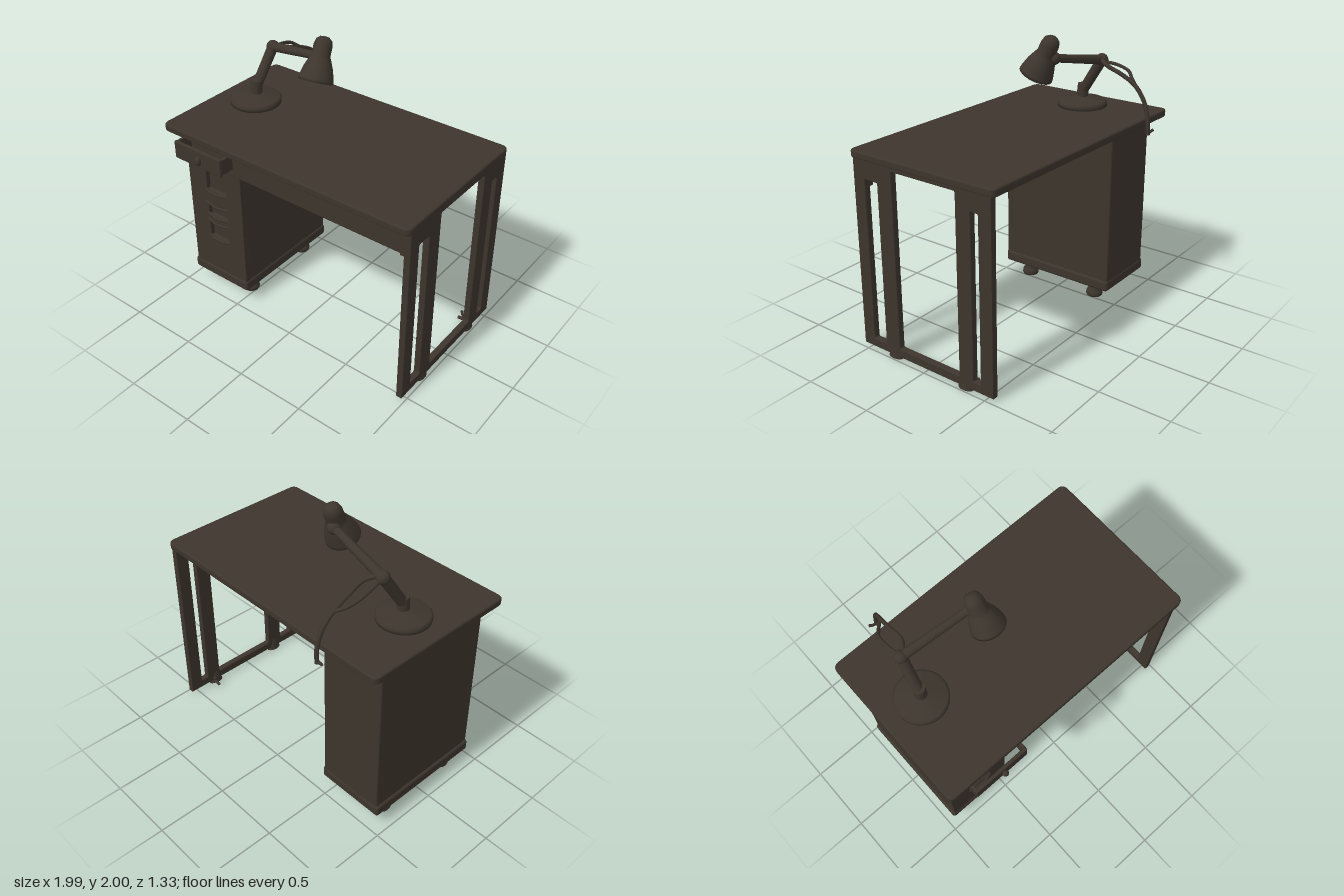
import * as THREE from 'three';
import { RoundedBoxGeometry } from 'three/addons/geometries/RoundedBoxGeometry.js';

export function createModel() {
  const model = new THREE.Group();
  model.name = 'deskWithLamp';
  const brown = new THREE.MeshStandardMaterial({ color: 0x3d352d, side: THREE.DoubleSide });
  brown.name = 'darkBrown';

  const add = (name, geo, parent = model) => {
    const m = new THREE.Mesh(geo, brown);
    m.name = name;
    parent.add(m);
    return m;
  };
  // box given by its min and max corners, with softened edges
  const box = (name, x0, x1, y0, y1, z0, z1, r = 0.008) => {
    const m = add(name, new RoundedBoxGeometry(x1 - x0, y1 - y0, z1 - z0, 2, r));
    m.position.set((x0 + x1) / 2, (y0 + y1) / 2, (z0 + z1) / 2);
    return m;
  };
  const rect = (Path, x0, x1, y0, y1, r = 0) => {
    const p = new Path();
    p.moveTo(x0 + r, y0);
    p.lineTo(x1 - r, y0);
    if (r) p.quadraticCurveTo(x1, y0, x1, y0 + r);
    p.lineTo(x1, y1 - r);
    if (r) p.quadraticCurveTo(x1, y1, x1 - r, y1);
    p.lineTo(x0 + r, y1);
    if (r) p.quadraticCurveTo(x0, y1, x0, y1 - r);
    p.lineTo(x0, y0 + r);
    if (r) p.quadraticCurveTo(x0, y0, x0 + r, y0);
    return p;
  };
  const v = (x, y, z) => new THREE.Vector3(x, y, z);
  const tube = (name, pts, r, seg = 24) =>
    add(name, new THREE.TubeGeometry(new THREE.CatmullRomCurve3(pts), seg, r, 8));
  const rod = (name, a, b, ra, rb) => {
    const d = b.clone().sub(a);
    const m = add(name, new THREE.CylinderGeometry(rb, ra, d.length(), 16));
    m.position.copy(a).addScaledVector(d, 0.5);
    m.quaternion.setFromUnitVectors(v(0, 1, 0), d.normalize());
    return m;
  };
  const ball = (name, p, r) => add(name, new THREE.SphereGeometry(r, 16, 12)).position.copy(p);
  const lathe = (pts, n = 28) => new THREE.LatheGeometry(pts.map(p => new THREE.Vector2(...p)), n);

  // Table top with rounded corners
  const top = add('tableTop', new THREE.ExtrudeGeometry(rect(THREE.Shape, -0.985, 0.975, -0.565, 0.565, 0.035), {
    depth: 0.031, bevelThickness: 0.012, bevelSize: 0.013, bevelSegments: 3, curveSegments: 6,
  }));
  top.rotation.x = -Math.PI / 2;
  top.position.y = 1.357;

  // Front apron with a small brace at the leg
  box('apron', -0.8, 0.92, 1.165, 1.35, 0.48, 0.52);
  box('apronBrace', 0.9, 0.985, 1.16, 1.35, 0.46, 0.53);

  // Side leg frame: four posts, joined at the bottom and in pairs at the top
  const frame = rect(THREE.Shape, -0.538, 0.55, 0.04, 1.35);
  frame.holes.push(
    rect(THREE.Path, -0.455, -0.335, 0.09, 1.23, 0.02),
    rect(THREE.Path, -0.225, 0.295, 0.09, 1.33, 0.02),
    rect(THREE.Path, 0.395, 0.465, 0.09, 1.23, 0.02));
  const legFrame = add('legFrame', new THREE.ExtrudeGeometry(frame, {
    depth: 0.034, bevelThickness: 0.006, bevelSize: 0.006, bevelSegments: 2,
  }));
  legFrame.rotation.y = Math.PI / 2;
  legFrame.position.x = 0.945;
  for (const z of [0.28, -0.32]) {
    const f = add('legFoot', new THREE.CylinderGeometry(0.035, 0.058, 0.09, 14));
    f.position.set(0.957, 0.055, z);
    f.scale.x = 0.6;
  }
  tube('footLever', [v(0.95, 0.05, -0.34), v(0.91, 0.04, -0.35), v(0.87, 0.035, -0.35)], 0.012, 8);
  tube('footPin', [v(0.93, 0.05, -0.35), v(0.9, 0.08, -0.35), v(0.895, 0.105, -0.35)], 0.01, 8);

  // Cabinet: carcass, flared plinth and front panel with open recesses
  box('cabinetBody', -0.94, -0.45, 0.14, 1.35, -0.46, 0.405, 0.012);
  box('cabinetPlinth', -0.955, -0.44, 0.12, 0.205, -0.465, 0.448, 0.02);
  const front = rect(THREE.Shape, -0.935, -0.452, 0.19, 1.35, 0.01);
  const recesses = [[0.885, 1.085], [0.67, 0.765], [0.48, 0.62]];
  for (const [a, b] of recesses) front.holes.push(rect(THREE.Path, -0.775, -0.59, a, b, 0.012));
  add('cabinetFront', new THREE.ExtrudeGeometry(front, {
    depth: 0.037, bevelThickness: 0.003, bevelSize: 0.003, bevelSegments: 1,
  })).position.z = 0.4;
  // Curved lips along the recess edges
  for (const y of [0.88, 0.77, 0.675, 0.622, 0.482]) {
    tube('recessLip', [v(-0.785, y + 0.008, 0.436), v(-0.72, y, 0.452), v(-0.65, y, 0.452), v(-0.585, y + 0.004, 0.436)], 0.009, 12);
  }
  for (const x of [-0.83, -0.56]) for (const z of [0.29, -0.3]) {
    const s = Math.sign(x + 0.695);
    const foot = add('cabinetFoot', lathe([[0, 0.015], [0.055, 0.015], [0.062, 0.03], [0.058, 0.055], [0.042, 0.075], [0.038, 0.13]], 16));
    foot.position.set(x + s * 0.015, 0, z);
  }

  // Pulled-out top drawer front with side rails and knob
  box('drawerFront', -0.84, -0.425, 1.215, 1.345, 0.608, 0.633);
  for (const x of [-0.83, -0.435]) box('drawerSide', x - 0.012, x + 0.012, 1.225, 1.338, 0.42, 0.62, 0.005);
  const knob = add('drawerKnob', new THREE.SphereGeometry(0.03, 14, 10));
  knob.scale.set(0.75, 1.1, 0.8);
  knob.position.set(-0.615, 1.275, 0.64);

  // Lamp base and arms
  add('lampBase', lathe([[0, 1.395], [0.178, 1.395], [0.18, 1.425], [0.165, 1.442], [0.07, 1.456], [0.05, 1.47], [0, 1.475]]))
    .position.set(-0.71, 0, -0.04);
  const elbow = v(-0.685, 1.76, -0.21), shoulder = v(-0.705, 1.53, -0.06), head = v(-0.2, 1.85, -0.14);
  rod('lampSocket', v(-0.705, 1.44, -0.04), v(-0.705, 1.56, -0.05), 0.042, 0.04);
  rod('lampLowerArm', shoulder, elbow, 0.036, 0.038);
  ball('lampElbow', elbow, 0.045);
  rod('lampUpperArm', elbow, head, 0.034, 0.027);
  ball('lampJoint', head, 0.045);

  // Lamp shade: open bell tilted forward, with a bulb inside
  const shade = new THREE.Group();
  shade.name = 'lampHead';
  shade.position.set(-0.16, 1.73, -0.025);
  shade.quaternion.setFromUnitVectors(v(0, 1, 0), v(-0.02, 0.265, -0.125).normalize());
  model.add(shade);
  add('lampShade', lathe([[0.1, 0.004], [0.117, 0], [0.115, 0.02], [0.097, 0.09], [0.072, 0.15], [0.062, 0.17],
    [0.062, 0.235], [0.053, 0.272], [0.03, 0.292], [0, 0.296]]), shade);
  add('shadeLining', lathe([[0.1, 0.004], [0.086, 0.085], [0.06, 0.15], [0, 0.16]]), shade);
  add('bulb', new THREE.SphereGeometry(0.045, 14, 10), shade).position.y = 0.09;

  // Power cable hanging behind the desk, with a second loose strand
  tube('cable', [v(-0.66, 1.77, -0.22), v(-0.61, 1.745, -0.3), v(-0.61, 1.7, -0.42), v(-0.605, 1.64, -0.53),
    v(-0.595, 1.54, -0.61), v(-0.59, 1.42, -0.645), v(-0.595, 1.32, -0.65)], 0.015, 40);
  tube('cableStrand', [v(-0.68, 1.75, -0.22), v(-0.7, 1.74, -0.32), v(-0.695, 1.71, -0.42), v(-0.66, 1.67, -0.47),
    v(-0.61, 1.64, -0.53)], 0.012, 28);
  tube('cableEnd', [v(-0.595, 1.33, -0.65), v(-0.62, 1.335, -0.65), v(-0.645, 1.345, -0.66)], 0.01, 8);
  return model;
}
